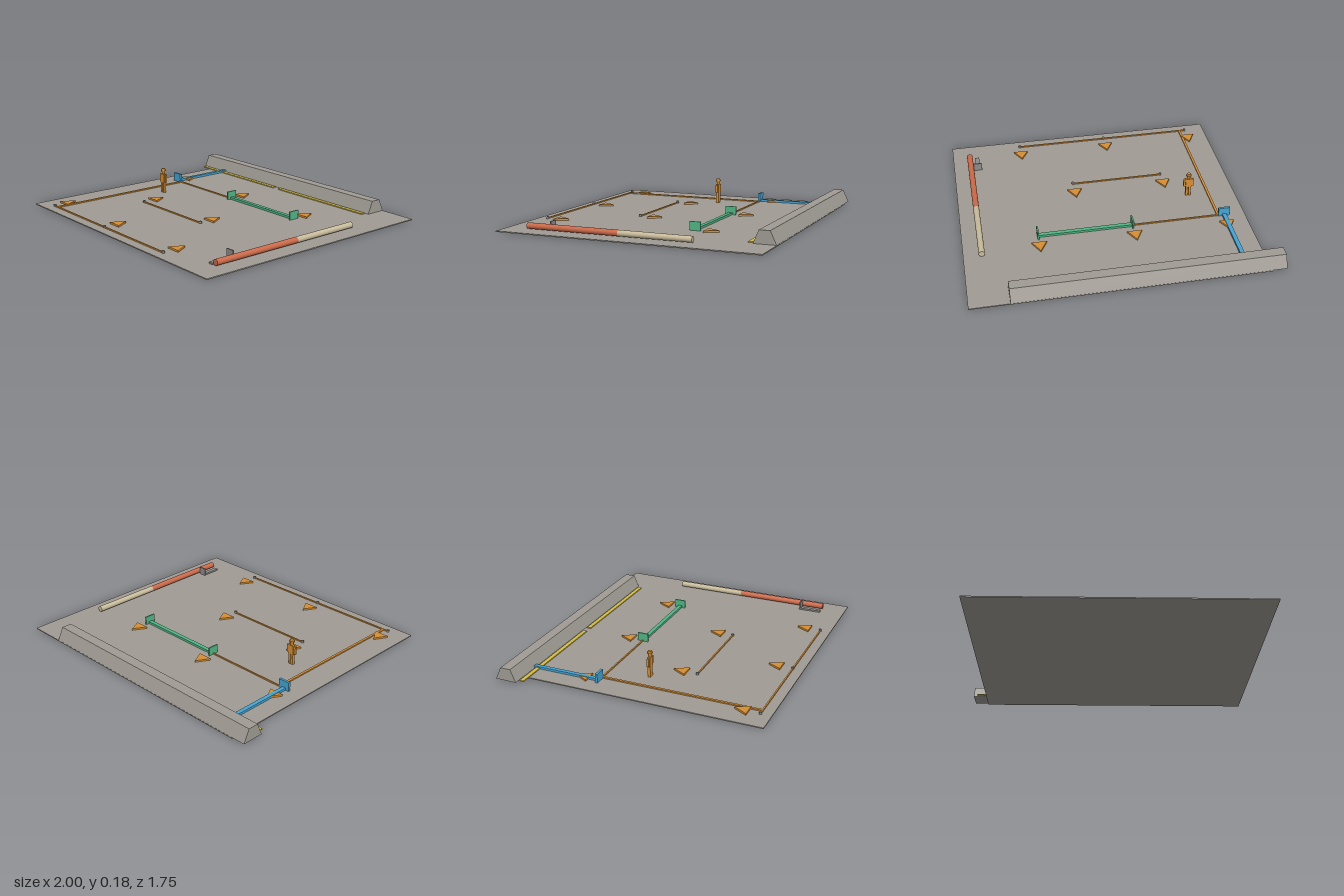
import * as THREE from 'three';

const mat = (name, color) => {
  const m = new THREE.MeshStandardMaterial({ color });
  m.name = name;
  return m;
};

export function createModel() {
  const concrete = mat('concrete grey', 0xa09c94);
  const steel = mat('steel grey', 0x8c8c8a);
  const yellow = mat('marking yellow', 0xd4bd48);
  const blue = mat('blue', 0x46a4d2);
  const green = mat('green', 0x50b584);
  const orange = mat('orange', 0xd68f35);
  const red = mat('brick red', 0xcc6a4a);
  const beige = mat('beige', 0xc9bc9c);

  const model = new THREE.Group();
  model.name = 'siteLayout';
  const G = 0.007; // ground surface height

  const add = (name, geometry, material, x = 0, y = 0, z = 0, parent = model) => {
    const mesh = new THREE.Mesh(geometry, material);
    mesh.name = name;
    mesh.position.set(x, y, z);
    parent.add(mesh);
    return mesh;
  };
  // Box given by its min and max on each axis
  const box = (name, material, x0, x1, y0, y1, z0, z1, parent) =>
    add(name, new THREE.BoxGeometry(x1 - x0, y1 - y0, z1 - z0), material,
      (x0 + x1) / 2, (y0 + y1) / 2, (z0 + z1) / 2, parent);
  const group = (name, x = 0, y = 0, z = 0) => {
    const g = new THREE.Group();
    g.name = name;
    g.position.set(x, y, z);
    model.add(g);
    return g;
  };

  // Ground slab
  box('groundSlab', concrete, -0.905, 1, 0, G, -0.875, 0.87);

  // Long barrier with sloping sides
  const profile = new THREE.Shape([
    [0.73, 0.008], [0.875, 0.008], [0.835, 0.092], [0.765, 0.092],
  ].map(([a, b]) => new THREE.Vector2(a, b)));
  const barrier = new THREE.ExtrudeGeometry(profile, { depth: 1.745, bevelEnabled: false });
  barrier.rotateY(Math.PI / 2); // profile x runs to -z, depth runs to +x
  add('barrier', barrier, concrete, -1, 0, 0);

  // Yellow strips along the barrier
  for (const [x0, x1] of [[-0.97, -0.155], [-0.1, 0.72]])
    box('edgeStrip', yellow, x0, x1, G, 0.014, -0.72, -0.692);

  // Blue beam with end plate
  const blueBeam = group('blueBeam');
  box('beam', blue, -0.776, -0.748, G, 0.022, -0.735, -0.265, blueBeam);
  box('endPlate', blue, -0.8, -0.722, G, 0.068, -0.276, -0.26, blueBeam);

  // Green beam with a plate at both ends
  const greenBeam = group('greenBeam');
  box('beam', green, -0.13, 0.503, G, 0.022, -0.281, -0.253, greenBeam);
  for (const x of [-0.13, 0.503])
    box('endPlate', green, x - 0.005, x + 0.005, G, 0.064, -0.305, -0.23, greenBeam);

  // Grey bracket beside the pipe
  const bracket = group('pipeBracket');
  box('foot', steel, 0.814, 0.845, G, 0.018, 0.56, 0.705, bracket);
  box('plate', steel, 0.802, 0.86, 0.012, 0.066, 0.555, 0.563, bracket);

  // Two-coloured pipe
  const pipe = (name, material, z0, z1) => {
    const g = new THREE.CylinderGeometry(0.02, 0.02, z1 - z0, 20);
    add(name, g.rotateX(Math.PI / 2), material, 0.88, 0.032, (z0 + z1) / 2);
  };
  pipe('pipeFront', red, 0.075, 0.71);
  pipe('pipeBack', beige, -0.41, 0.075);

  // Flat triangular markers pointing to the back
  const triangle = new THREE.Shape([
    new THREE.Vector2(-0.05, -0.045), new THREE.Vector2(0.05, -0.045), new THREE.Vector2(0, 0.045),
  ]);
  const marker = new THREE.ExtrudeGeometry(triangle, { depth: 0.012, bevelEnabled: false });
  marker.rotateX(-Math.PI / 2);
  const columns = [-0.76, -0.13, 0.503];
  const middle = [-0.445, 0.186];
  for (const [xs, z] of [[columns, -0.385], [middle, 0.15], [columns, 0.682]])
    for (const x of xs) add('marker', marker, orange, x, G, z);

  // Cables on the ground
  box('frontCable', orange, -0.76, 0.503, G, 0.015, 0.796, 0.805);
  box('middleCable', orange, -0.445, 0.186, G, 0.015, 0.262, 0.271);
  box('backCable', orange, -0.72, -0.13, G, 0.015, -0.272, -0.263);
  box('sideCable', orange, -0.729, -0.713, G, 0.015, -0.265, 0.805);

  // Small posts at the cable anchors
  const post = new THREE.CylinderGeometry(0.009, 0.009, 0.015, 12);
  for (const [xs, z] of [[columns, 0.8], [middle, 0.267]])
    for (const x of xs) add('anchorPost', post, steel, x, G + 0.0075, z);

  // Standing figure
  const figure = group('figure', -0.58, 0, 0);
  for (const s of [-1, 1]) {
    box('leg', orange, s * 0.01 - 0.008, s * 0.01 + 0.008, G, 0.085, -0.009, 0.009, figure);
    box('arm', orange, s * 0.028 - 0.007, s * 0.028 + 0.007, 0.085, 0.14, -0.007, 0.007, figure);
  }
  box('torso', orange, -0.021, 0.021, 0.08, 0.143, -0.011, 0.011, figure);
  add('head', new THREE.CylinderGeometry(0.014, 0.009, 0.026, 12), orange, 0, 0.156, 0, figure);
  add('hatBrim', new THREE.CylinderGeometry(0.019, 0.019, 0.005, 16), orange, 0, 0.171, 0, figure);
  add('hatCrown', new THREE.CylinderGeometry(0.012, 0.015, 0.011, 16), orange, 0, 0.179, 0, figure);

  return model;
}
